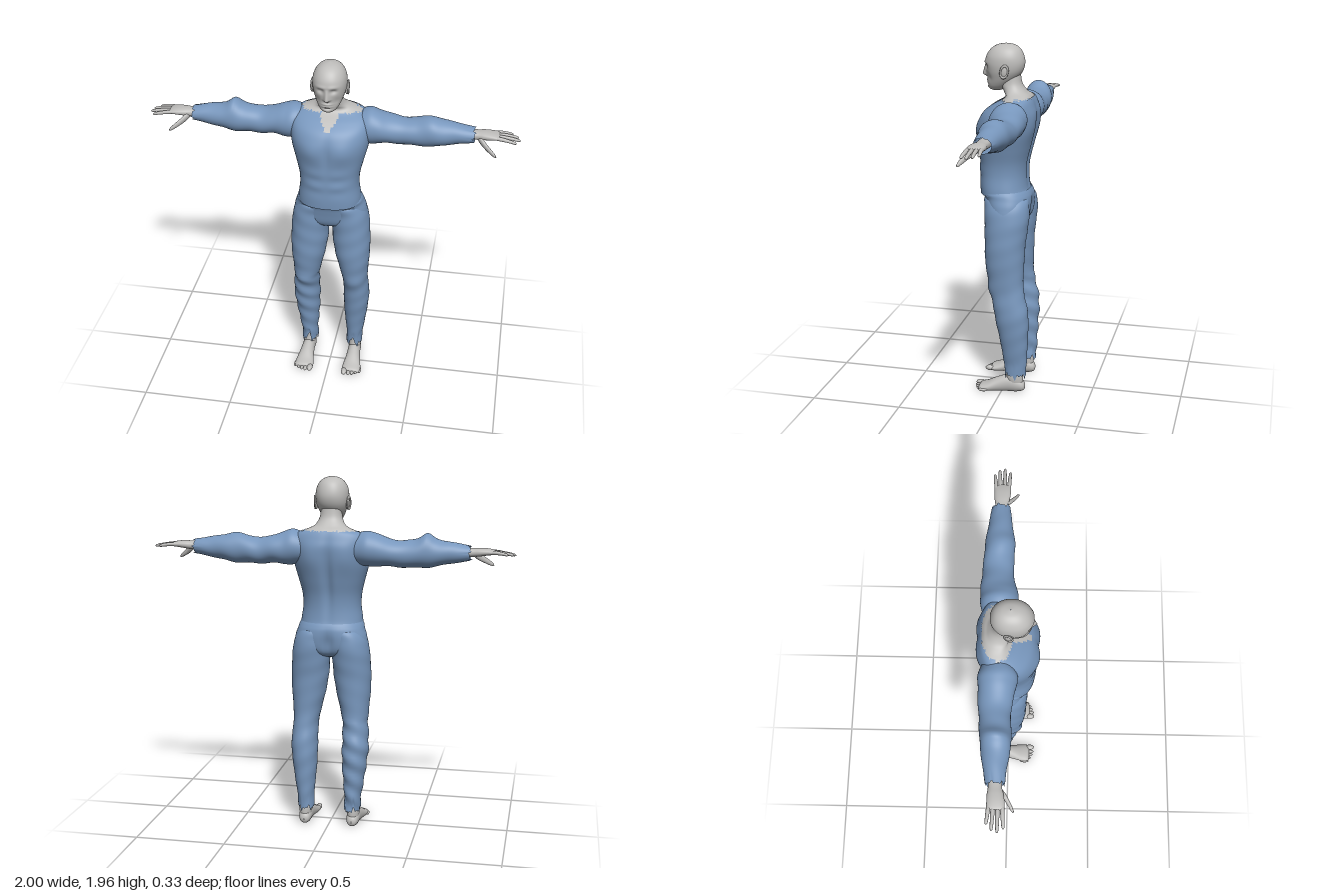
import * as THREE from 'three';

const skin = new THREE.MeshStandardMaterial({ color: 0xbebdbb });
skin.name = 'pale skin';
const cloth = new THREE.MeshStandardMaterial({ color: 0x7897bd, side: THREE.DoubleSide });
cloth.name = 'blue cloth';

const bell = (d, w) => Math.exp(-(d * d) / (w * w));
const rag = (a) => (Math.sin(a * 5) + Math.sin(a * 11 + 1) + Math.sin(a * 17 + 2)) / 3;

// Section plane of each loft axis: which coordinate takes the first and second section value
const AXES = { y: ['x', 'z'], x: ['z', 'y'], z: ['y', 'x'] };

// Smooth tube through rows [t, centreA, centreB, radiusA, radiusB] along an axis
function loft(axis, rows, { seg = 40, sub = 5, power = 2, rule, keep } = {}) {
  const [a, b] = AXES[axis];
  const at = (i) => rows[Math.max(0, Math.min(rows.length - 1, i))];
  const count = (rows.length - 1) * sub;
  const pts = [];
  const bend = (v) => Math.sign(v) * Math.pow(Math.abs(v), 2 / power);
  for (let i = 0; i <= count; i++) {
    const k = Math.min(Math.floor(i / sub), rows.length - 2);
    const f = i / sub - k;
    const r = rows[0].map((_, c) => {
      const [p, q, s, u] = [at(k - 1)[c], at(k)[c], at(k + 1)[c], at(k + 2)[c]];
      return q + 0.5 * f * (s - p + f * (2 * p - 5 * q + 4 * s - u + f * (3 * (q - s) + u - p)));
    });
    for (let j = 0; j < seg; j++) {
      const th = (j / seg) * Math.PI * 2;
      const p = new THREE.Vector3();
      p[axis] = r[0];
      p[a] = r[1] + r[3] * bend(Math.cos(th));
      p[b] = r[2] + r[4] * bend(Math.sin(th));
      if (rule) rule(p, th);
      pts.push(p);
    }
  }
  const index = [];
  const mid = new THREE.Vector3();
  for (let i = 0; i < count; i++) {
    for (let j = 0; j < seg; j++) {
      const p = i * seg + j, q = i * seg + ((j + 1) % seg);
      mid.addVectors(pts[p], pts[q + seg]).multiplyScalar(0.5);
      if (keep && !keep(mid)) continue;
      index.push(p, p + seg, q, q, p + seg, q + seg);
    }
  }
  const g = new THREE.BufferGeometry().setFromPoints(pts);
  g.setIndex(index);
  g.computeVertexNormals();
  return g;
}

function mirrored(geo) {
  const g = geo.clone().scale(-1, 1, 1);
  const ix = g.index.array;
  for (let i = 0; i < ix.length; i += 3) [ix[i], ix[i + 1]] = [ix[i + 1], ix[i]];
  g.computeVertexNormals();
  return g;
}

function ball(x, y, z, rx, ry, rz, tilt = 0) {
  return new THREE.SphereGeometry(1, 20, 14).scale(rx, ry, rz).rotateX(tilt).translate(x, y, z);
}

export function createModel() {
  const model = new THREE.Group();
  model.name = 'figure';
  const add = (name, geo, mat) => {
    const m = new THREE.Mesh(geo, mat);
    m.name = name;
    model.add(m);
  };
  const pair = (name, geo, mat) => {
    add('left ' + name, geo, mat);
    add('right ' + name, mirrored(geo), mat);
  };

  // Torso: chest muscles in front, spine groove behind
  const torso = [
    [1.14, 0, 0.008, 0.174, 0.137], [1.18, 0, 0.015, 0.17, 0.133], [1.25, 0, 0.018, 0.161, 0.131],
    [1.32, 0, 0.016, 0.165, 0.135], [1.4, 0, 0.008, 0.184, 0.146], [1.48, 0, 0.0, 0.205, 0.155],
    [1.54, 0, -0.007, 0.213, 0.156], [1.59, 0, -0.02, 0.213, 0.145], [1.63, 0, -0.04, 0.205, 0.115],
    [1.66, 0, -0.06, 0.172, 0.084], [1.68, 0, -0.06, 0.122, 0.071], [1.7, 0, -0.043, 0.086, 0.067],
    [1.74, 0, -0.02, 0.066, 0.063], [1.8, 0, -0.01, 0.06, 0.062],
  ];
  const muscles = (p) => {
    const x = Math.abs(p.x);
    if (p.z > 0) {
      p.z += 0.014 * bell(x - 0.085, 0.07) * bell(p.y - 1.49, 0.06);
      p.z -= 0.005 * bell(x, 0.02) * bell(p.y - 1.47, 0.1);
      p.z += 0.003 * Math.sin(p.y * 75) * bell(x - 0.06, 0.06) * bell(p.y - 1.3, 0.08);
    } else {
      p.z += 0.018 * bell(x, 0.025) * bell(p.y - 1.4, 0.18);
      p.z -= 0.01 * bell(x - 0.1, 0.06) * bell(p.y - 1.53, 0.08);
    }
  };
  // Ragged neckline with a notch in front
  const inShirt = (p) => {
    const top = p.z < -0.06 ? 1.672 : 1.663;
    const notch = p.z > 0 && p.y > 1.585 + Math.abs(p.x) * 1.3 + 0.006 * rag(p.y * 60) && Math.abs(p.x) < 0.045;
    return p.y < top + 0.006 * rag(p.x * 22) && !notch;
  };
  add('shirt body', loft('y', torso, { seg: 112, sub: 6, power: 2.25, rule: muscles, keep: inShirt }), cloth);
  const inner = torso.slice(5).map(([y, x, z, rx, rz]) => [y, x, z, rx - 0.005, rz - 0.005]);
  add('neck and chest', loft('y', inner, { seg: 80, sub: 6, power: 2.25, rule: muscles }), skin);

  // Head with brow, eye sockets, nose, lips and chin
  const face = (p) => {
    if (p.z < 0.04) return;
    const x = Math.abs(p.x), y = p.y;
    const ridge = y > 1.785 ? Math.max(0, 1 - (y - 1.785) / 0.062) : Math.max(0, 1 - (1.785 - y) / 0.014);
    p.z += 0.028 * ridge * bell(x, 0.009 + 0.006 * ridge);
    p.z -= 0.013 * bell(x - 0.034, 0.018) * bell(y - 1.833, 0.013);
    p.z += 0.004 * bell(x - 0.03, 0.03) * bell(y - 1.856, 0.009);
    p.z += 0.007 * bell(x, 0.026) * (bell(y - 1.757, 0.006) + bell(y - 1.743, 0.006));
    p.z -= 0.005 * bell(x, 0.02) * bell(y - 1.733, 0.004);
    p.z += 0.005 * bell(x, 0.022) * bell(y - 1.718, 0.009);
    p.z -= 0.005 * bell(x - 0.05, 0.015) * bell(y - 1.772, 0.025);
  };
  add('head', loft('y', [
    [1.698, 0, 0.06, 0.002, 0.002], [1.705, 0, 0.062, 0.027, 0.032], [1.72, 0, 0.056, 0.046, 0.05],
    [1.745, 0, 0.042, 0.062, 0.067], [1.775, 0, 0.027, 0.075, 0.085], [1.81, 0, 0.018, 0.086, 0.1],
    [1.85, 0, 0.016, 0.09, 0.108], [1.89, 0, 0.015, 0.085, 0.101], [1.925, 0, 0.012, 0.067, 0.08],
    [1.947, 0, 0.01, 0.038, 0.047], [1.956, 0, 0.01, 0.001, 0.001],
  ], { seg: 128, sub: 8, power: 2.15, rule: face }), skin);
  pair('eye', ball(0.034, 1.832, 0.088, 0.014, 0.01, 0.014), skin);
  pair('ear', ball(0.087, 1.812, 0.002, 0.011, 0.036, 0.022, -0.2), skin);
  pair('ear rim', new THREE.TorusGeometry(0.02, 0.005, 8, 20).scale(1, 1.6, 1)
    .rotateY(Math.PI / 2 + 0.25).rotateX(-0.2).translate(0.094, 1.814, 0), skin);

  // Sleeves, with light folds and a frayed cuff
  const sleeve = (side) => loft('x', [
    [0.14, -0.055, 1.575, 0.08, 0.08], [0.2, -0.052, 1.576, 0.1, 0.096], [0.25, -0.053, 1.57, 0.099, 0.09],
    [0.31, -0.06, 1.563, 0.09, 0.077], [0.38, -0.062, 1.552, 0.083, 0.072], [0.45, -0.06, 1.557, 0.08, 0.075],
    [0.53, -0.055, 1.564, 0.08, 0.083], [0.6, -0.055, 1.564, 0.072, 0.068], [0.68, -0.055, 1.565, 0.06, 0.054],
    [0.76, -0.053, 1.565, 0.048, 0.04],
  ], {
    seg: 48, rule: (p, th) => {
      const fold = 1 + 0.018 * Math.sin(p.x * 45 + th * 2 + side);
      p.y = 1.565 + (p.y - 1.565) * fold;
      p.z = -0.055 + (p.z + 0.055) * fold;
      if (side < 0) p.y += 0.02 * bell(p.x - 0.53, 0.03) * Math.max(0, Math.sin(th));
      if (p.x > 0.7) p.x += 0.012 * rag(th + side) * (p.x - 0.7) / 0.06;
    },
  });
  add('left sleeve', sleeve(1), cloth);
  add('right sleeve', mirrored(sleeve(-1)), cloth);

  // Hands
  pair('palm', loft('x', [
    [0.7, -0.053, 1.567, 0.034, 0.026], [0.77, -0.052, 1.569, 0.034, 0.023], [0.81, -0.05, 1.572, 0.041, 0.022],
    [0.85, -0.048, 1.574, 0.044, 0.018], [0.885, -0.048, 1.573, 0.041, 0.012], [0.89, -0.048, 1.573, 0.01, 0.004],
  ], { power: 2.3 }), skin);
  const fingers = [[-0.08, -0.092, 0.96], [-0.059, -0.066, 0.99], [-0.037, -0.038, 1.0], [-0.016, -0.008, 0.98]];
  fingers.forEach(([z0, z1, tip], i) => {
    const at = (f, r) => [0.86 + (tip - 0.86) * f, z0 + (z1 - z0) * f, 1.574 + 0.006 * f - 0.016 * f * f - i * 0.003 * f, r, r];
    pair('finger ' + (i + 1), loft('x', [at(0, 0.0105), at(0.35, 0.0105), at(0.7, 0.009), at(0.93, 0.007), at(1, 0.001)],
      { seg: 14, sub: 4 }), skin);
  });
  pair('thumb', loft('x', [
    [0.77, -0.04, 1.566, 0.008, 0.01], [0.795, -0.022, 1.55, 0.018, 0.021], [0.825, 0.004, 1.528, 0.013, 0.018],
    [0.855, 0.024, 1.508, 0.01, 0.014], [0.875, 0.035, 1.495, 0.007, 0.009], [0.882, 0.039, 1.49, 0.001, 0.001],
  ], { seg: 16 }), skin);

  // Trousers: hips, then one leg per side with torn hems
  add('trouser hips', loft('y', [
    [0.965, 0, -0.02, 0.03, 0.03], [0.985, 0, -0.02, 0.12, 0.085], [1.02, 0, -0.02, 0.2, 0.113],
    [1.08, 0, -0.017, 0.2, 0.126], [1.125, 0, -0.01, 0.186, 0.132], [1.15, 0, 0.003, 0.179, 0.137],
    [1.166, 0, 0.005, 0.17, 0.13],
  ], { seg: 64, power: 2.25, rule: (p) => { if (p.z < 0) p.z += 0.02 * bell(p.x, 0.025) * bell(p.y - 1.05, 0.06); } }), cloth);
  const leg = (side) => loft('y', [
    [0.1, 0.133, -0.075, 0.046, 0.06], [0.16, 0.134, -0.074, 0.046, 0.064], [0.22, 0.137, -0.072, 0.052, 0.07],
    [0.32, 0.14, -0.066, 0.064, 0.08], [0.42, 0.144, -0.058, 0.072, 0.092], [0.5, 0.145, -0.048, 0.073, 0.095],
    [0.58, 0.141, -0.033, 0.07, 0.092], [0.66, 0.135, -0.02, 0.078, 0.097], [0.76, 0.127, -0.012, 0.094, 0.108],
    [0.86, 0.12, -0.012, 0.104, 0.112], [0.94, 0.115, -0.016, 0.105, 0.118], [1.01, 0.11, -0.019, 0.104, 0.123],
    [1.07, 0.104, -0.018, 0.096, 0.124], [1.12, 0.088, -0.01, 0.086, 0.12], [1.14, 0.08, 0, 0.07, 0.09],
  ], {
    seg: 56, power: 2.1, rule: (p, th) => {
      const loose = p.y < 0.62 ? (side < 0 ? 0.045 : 0.012) : 0.008;
      const fold = 1 + loose * Math.sin(p.y * 60 + th * 2);
      p.x = 0.138 + (p.x - 0.138) * fold;
      p.z = -0.05 + (p.z + 0.05) * fold;
      p.z += 0.012 * bell(p.y - 0.61, 0.05) * Math.max(0, Math.sin(th));
      if (p.y < 0.2) p.y += (0.025 * rag(th + side) + 0.05 * bell(th - 1.6, 0.25)) * (0.2 - p.y) / 0.1;
    },
  });
  add('left trouser leg', leg(1), cloth);
  add('right trouser leg', mirrored(leg(-1)), cloth);

  // Bare feet
  pair('ankle', loft('y', [
    [0.03, 0.137, -0.075, 0.03, 0.045], [0.08, 0.137, -0.072, 0.036, 0.048], [0.13, 0.137, -0.073, 0.034, 0.043],
    [0.24, 0.138, -0.07, 0.036, 0.046],
  ]), skin);
  pair('foot', loft('z', [
    [-0.132, 0.032, 0.136, 0.003, 0.003], [-0.122, 0.034, 0.136, 0.026, 0.025], [-0.085, 0.042, 0.137, 0.045, 0.036],
    [-0.03, 0.044, 0.138, 0.05, 0.037], [0.03, 0.032, 0.14, 0.042, 0.043], [0.085, 0.018, 0.141, 0.028, 0.053],
    [0.125, 0.013, 0.14, 0.017, 0.05], [0.132, 0.012, 0.14, 0.004, 0.02],
  ], { rule: (p) => { p.y = Math.max(0, p.y); } }), skin);
  for (let i = 0; i < 5; i++) {
    const r = i ? 0.0115 - i * 0.0005 : 0.0165;
    pair('toe ' + (i + 1), ball((i ? 0.108 : 0.103) + i * 0.021, r * 0.95, 0.135 - i * i * 0.002, r, r * 0.95, 0.027), skin);
  }
  return model;
}
